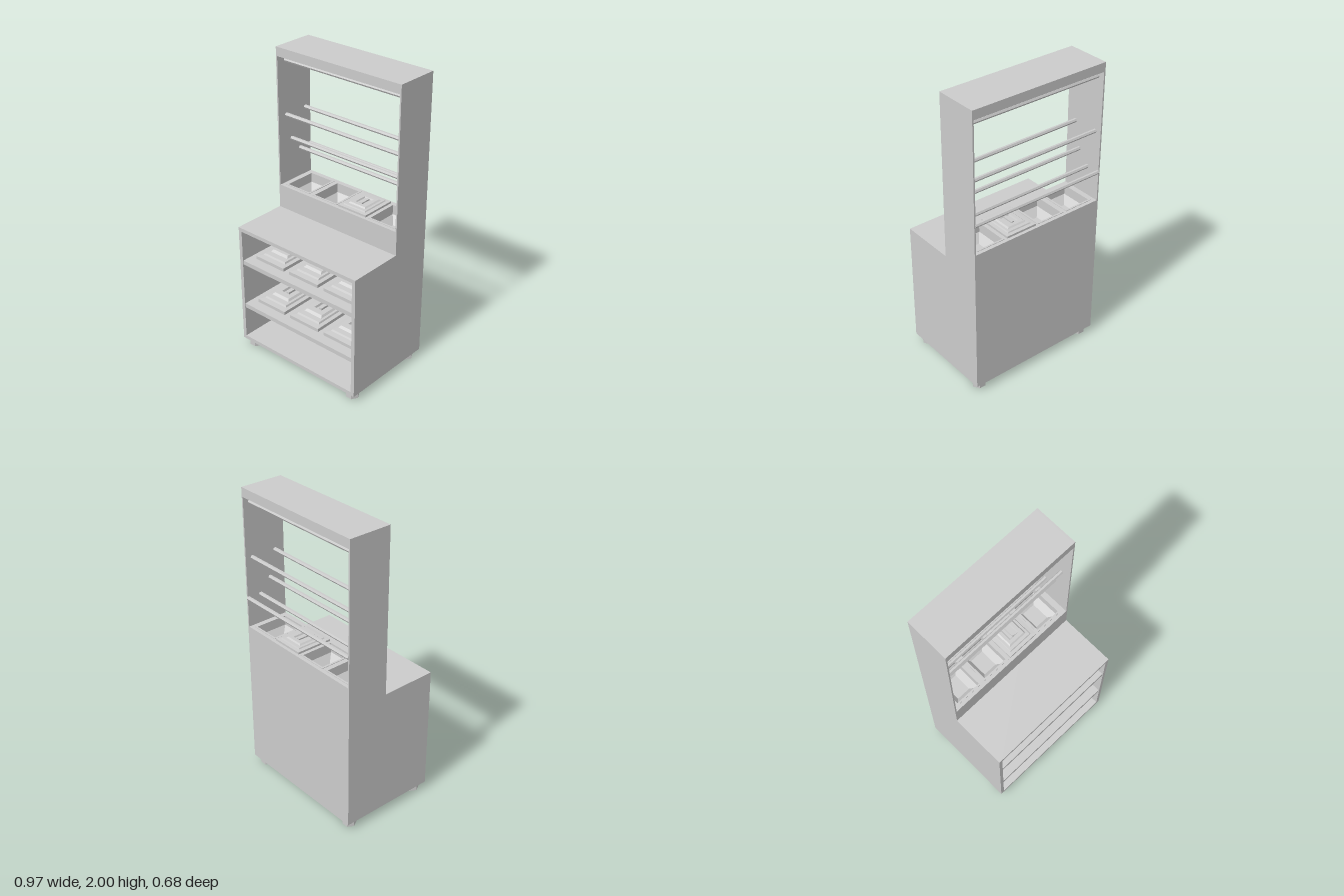
import * as THREE from 'three';

const grey = new THREE.MeshStandardMaterial({ color: 0xcccccc, flatShading: true });

function add(parent, name, geometry, x = 0, y = 0, z = 0) {
  const mesh = new THREE.Mesh(geometry, grey);
  mesh.name = name;
  mesh.position.set(x, y, z);
  parent.add(mesh);
  return mesh;
}

// Box given by its limits on each axis
function box(parent, name, [x0, x1], [y0, y1], [z0, z1]) {
  return add(parent, name, new THREE.BoxGeometry(x1 - x0, y1 - y0, z1 - z0),
    (x0 + x1) / 2, (y0 + y1) / 2, (z0 + z1) / 2);
}

// Joins rectangular sections [y, half width, half depth] and caps both ends
function rectLoft(sections) {
  const rings = sections.map(([y, w, d]) => [[w, y, d], [w, y, -d], [-w, y, -d], [-w, y, d]]);
  const points = [];
  const quad = (a, b, c, d) => points.push(...a, ...b, ...c, ...a, ...c, ...d);
  for (let i = 0; i + 1 < rings.length; i++) {
    for (let j = 0; j < 4; j++) {
      const k = (j + 1) % 4;
      quad(rings[i][j], rings[i][k], rings[i + 1][k], rings[i + 1][j]);
    }
  }
  quad(...rings[0].slice().reverse());
  quad(...rings[rings.length - 1]);
  const geometry = new THREE.BufferGeometry();
  geometry.setAttribute('position', new THREE.Float32BufferAttribute(points, 3));
  geometry.computeVertexNormals();
  return geometry;
}

// Stepped lid with a recessed grip; y = 0 is the surface it rests on
function lid(parent, w, d, h, x, y, z) {
  const g = new THREE.Group();
  g.name = 'panLid';
  g.position.set(x, y, z);
  add(g, 'lidBody', rectLoft([
    [0, w, d], [h * 0.45, w, d], [h * 0.5, w * 0.78, d * 0.82], [h * 0.72, w * 0.74, d * 0.79],
    [h * 0.74, w * 0.6, d * 0.62], [h, w * 0.52, d * 0.55], [h, w * 0.32, d * 0.36], [h * 0.72, w * 0.28, d * 0.32],
  ]));
  box(g, 'lidGrip', [-w * 0.09, w * 0.09], [h * 0.7, h], [-d * 0.3, d * 0.3]);
  parent.add(g);
}

export function createModel() {
  const model = new THREE.Group();
  model.name = 'servingStation';
  const W = 0.485, F = 0.34, B = -0.333, M = -0.04; // half width, front, back, front of upper part

  // Lower cabinet
  for (const s of [-1, 1]) {
    const side = (a, b) => (s > 0 ? [a, b] : [-b, -a]);
    box(model, 'cabinetSide', side(0.46, W), [0.05, 0.9], [B, F]);
    box(model, 'upperSide', side(0.475, W), [0.9, 2], [B, M]);
    for (const z of [-0.27, 0.28]) {
      const foot = new THREE.CylinderGeometry(0.045, 0.045, 0.05, 6).rotateY(Math.PI / 2);
      foot.rotateY(Math.PI); // corners point sideways
      add(model, 'foot', foot, s * 0.425, 0.025, z);
    }
  }
  box(model, 'cabinetFloor', [-0.46, 0.46], [0.05, 0.075], [B, F]);
  box(model, 'cabinetTop', [-0.46, 0.46], [0.875, 0.9], [B, F]);
  box(model, 'cabinetBack', [-0.46, 0.46], [0.075, 0.875], [B, B + 0.02]);

  // Shelves with three covered pans each
  for (const y of [0.30, 0.63]) {
    box(model, 'shelf', [-0.46, 0.46], [y, y + 0.03], [B + 0.02, F - 0.005]);
    for (const x of [-0.29, 0, 0.29]) {
      add(model, 'shelfPan', rectLoft([
        [-0.085, 0.075, 0.16], [-0.045, 0.118, 0.205], [0.01, 0.118, 0.205],
      ]), x, y, 0.04);
      lid(model, 0.12, 0.225, 0.05, x, y + 0.03, 0.04);
    }
  }

  // Upper counter with four wells
  const wells = [-0.345, -0.115, 0.115, 0.345];
  const zc = (B + M) / 2;
  box(model, 'counterFront', [-0.475, 0.475], [0.9, 1.05], [M - 0.015, M]);
  box(model, 'counterBack', [-0.475, 0.475], [0.9, 1.05], [B, B + 0.015]);
  const plate = new THREE.Shape([[-0.475, -0.1465], [0.475, -0.1465], [0.475, 0.1465], [-0.475, 0.1465]]
    .map(([x, z]) => new THREE.Vector2(x, z)));
  for (const x of wells) {
    plate.holes.push(new THREE.Path([[-1, -1], [-1, 1], [1, 1], [1, -1]]
      .map(([a, b]) => new THREE.Vector2(x + a * 0.095, b * 0.115))));
  }
  const plateGeometry = new THREE.ExtrudeGeometry(plate, { depth: 0.012, bevelEnabled: false });
  add(model, 'counterTop', plateGeometry.rotateX(-Math.PI / 2), 0, 1.05, zc);
  for (const x of wells) {
    add(model, 'counterPan', rectLoft([
      [-0.1, 0.05, 0.065], [-0.055, 0.094, 0.114], [0.012, 0.094, 0.114], [0.012, 0.103, 0.122],
      [0.015, 0.103, 0.122], [0.015, 0.09, 0.11], [-0.05, 0.09, 0.11], [-0.095, 0.048, 0.062],
    ]), x, 1.05, zc);
  }
  lid(model, 0.112, 0.125, 0.03, wells[2], 1.062, zc);

  // Canopy and cross rails [y, z]
  box(model, 'canopy', [-0.475, 0.475], [1.94, 2], [B, M]);
  const rails = [[1.9, -0.285], [1.9, -0.11], [1.535, -0.285], [1.535, -0.11],
    [1.358, -0.155], [1.265, -0.233], [1.265, -0.328]];
  for (const [y, z] of rails) {
    add(model, 'rail', new THREE.CylinderGeometry(0.013, 0.013, 0.955, 6).rotateZ(Math.PI / 2), 0, y, z);
  }
  return model;
}
